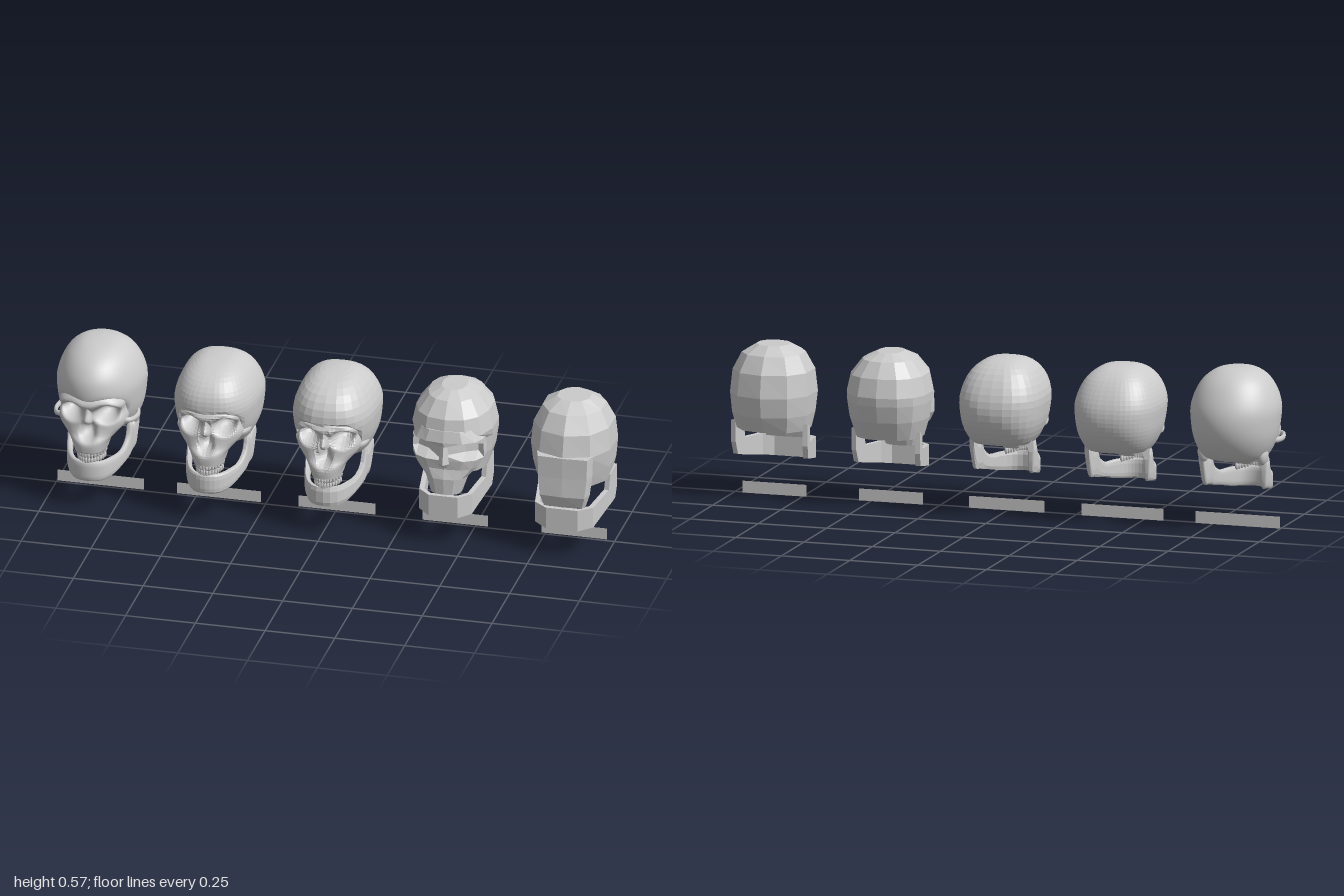
import * as THREE from 'three';

const spow = (v, p) => Math.abs(v) < 1e-6 ? 0 : Math.sign(v) * Math.pow(Math.abs(v), p);

// Closed skin over a list of rings, both ends capped
function skin(rings) {
  const mid = r => r.reduce((s, v) => s.add(v), new THREE.Vector3()).divideScalar(r.length);
  const n = rings[0].length, last = rings[rings.length - 1];
  const all = [rings[0].map(() => mid(rings[0])), ...rings, last.map(() => mid(last))];
  const index = [];
  for (let i = 0; i < all.length - 1; i++) for (let j = 0; j < n; j++) {
    const k = (j + 1) % n, a = i * n + j, b = a + n, c = (i + 1) * n + k, d = i * n + k;
    if (i < all.length - 2) index.push(a, b, c);
    if (i > 0) index.push(a, c, d);
  }
  const g = new THREE.BufferGeometry().setFromPoints(all.flat());
  g.setIndex(index);
  g.computeVertexNormals();
  return g;
}

// Catmull-Rom refinement of a table of rows
function refine(rows, n) {
  const out = [];
  const at = i => rows[Math.max(0, Math.min(rows.length - 1, i))];
  for (let i = 0; i < rows.length - 1; i++) for (let s = 0; s < n; s++) {
    const t = s / n;
    out.push(rows[i].map((b, c) => {
      const a = at(i - 1)[c], d = at(i + 1)[c], e = at(i + 2)[c];
      return b + 0.5 * t * (d - a + t * (2 * a - 5 * b + 4 * d - e + t * (3 * (b - d) + e - a)));
    }));
  }
  out.push(rows[rows.length - 1]);
  return out;
}

// Horizontal sections: [y, half width, front z, widest z, back z]
function loft(rows, seg, p = 1, rule = v => v) {
  return skin(rows.map(([y, hw, zf, zc, zb]) => Array.from({ length: seg }, (_, j) => {
    const t = j / seg * Math.PI * 2, c = spow(Math.cos(t), p);
    return rule(new THREE.Vector3(Math.max(hw, 0) * spow(Math.sin(t), p), y, zc + c * (c > 0 ? zf - zc : zc - zb)));
  })));
}

// Jaw swept round a U: half sections [x, z, bottom, top], mirrored
function jawGeometry(half, div, seg, p, thick) {
  const left = half.map(([x, ...r]) => [-x, ...r]);
  const right = half.filter(r => r[0] > 0).reverse();
  const rows = refine([...left, ...right], div);
  return skin(rows.map(([x, z, lo, hi], i) => {
    const a = rows[Math.max(i - 1, 0)], b = rows[Math.min(i + 1, rows.length - 1)];
    const T = new THREE.Vector2(b[0] - a[0], b[1] - a[1]).normalize();
    return Array.from({ length: seg }, (_, j) => {
      const t = (j + 0.5) / seg * Math.PI * 2, o = thick * spow(Math.cos(t), p);
      return new THREE.Vector3(x - T.y * o, (lo + hi) / 2 + (hi - lo) / 2 * spow(Math.sin(t), p), z + T.x * o);
    });
  }));
}

// Pushes the eye sockets and nose opening into the front
const dent = grow => v => {
  const front = THREE.MathUtils.smoothstep(v.z, 0.04, 0.11);
  const hole = (x, y, rx, ry) => Math.exp(-Math.pow((x / rx / grow) ** 2 + (y / ry / grow) ** 2, 1.6));
  v.z -= front * grow * (0.08 * hole(Math.abs(v.x) - 0.062, v.y - 0.357, 0.035, 0.029)
    + 0.05 * hole(v.x, v.y - 0.29, 0.02 + 0.1 * Math.max(0, 0.3 - v.y), 0.029));
  return v;
};

// Pushes the low-poly eye corners back
function angularSocket(v) {
  const x = Math.abs(v.x);
  if (v.z > 0.07 && v.y > 0.33 && v.y < 0.37 && x > 0.02 && x < 0.112) v.z -= 0.045;
  return v;
}

const CRANIUM = [
  [0.572, 0, -0.03, -0.03, -0.03], [0.568, 0.046, 0.02, -0.03, -0.072], [0.555, 0.08, 0.08, -0.035, -0.107],
  [0.525, 0.115, 0.136, -0.04, -0.145], [0.48, 0.141, 0.172, -0.04, -0.177], [0.43, 0.155, 0.183, -0.04, -0.198],
  [0.38, 0.153, 0.176, -0.04, -0.203], [0.33, 0.146, 0.153, -0.04, -0.193], [0.285, 0.13, 0.115, -0.04, -0.17],
  [0.255, 0.108, 0.08, -0.04, -0.142]];
const FACE = [
  [0.44, 0.07, 0.15, 0.08, 0.03], [0.395, 0.112, 0.189, 0.09, 0.03], [0.36, 0.114, 0.176, 0.08, 0.03],
  [0.325, 0.121, 0.17, 0.08, 0.03], [0.3, 0.113, 0.17, 0.085, 0.03], [0.275, 0.09, 0.178, 0.1, 0.04],
  [0.25, 0.069, 0.196, 0.11, 0.05], [0.213, 0.056, 0.195, 0.11, 0.06]];
const NOSE = [[0.39, 0.011, 0.186, 0.16, 0.14], [0.365, 0.012, 0.192, 0.16, 0.14],
  [0.34, 0.016, 0.206, 0.165, 0.15], [0.325, 0.016, 0.193, 0.165, 0.155]];
const JAW = [
  [0.114, -0.072, 0.225, 0.268], [0.109, -0.055, 0.152, 0.262], [0.105, -0.03, 0.143, 0.24],
  [0.104, -0.005, 0.138, 0.258], [0.102, 0.015, 0.133, 0.21], [0.093, 0.06, 0.125, 0.18],
  [0.074, 0.12, 0.111, 0.178], [0.044, 0.166, 0.105, 0.178], [0, 0.181, 0.105, 0.178]];

function makeAdder(group, flat) {
  const material = new THREE.MeshStandardMaterial({ color: 0xcccccc, flatShading: flat });
  return (name, geometry, x = 0, y = 0, z = 0) => {
    const m = new THREE.Mesh(geometry, material);
    m.name = name;
    m.position.set(x, y, z);
    group.add(m);
    return m;
  };
}

// Detailed skull; seg and div set its density
function detailedSkull({ seg, div, flat, top, width, p, hollow, arch }) {
  const g = new THREE.Group(), add = makeAdder(g, flat);
  const k = (top - 0.25) / 0.322;
  const base = hollow
    ? [[0.262, 0.085, 0.06, -0.04, -0.12], [0.3, 0.05, 0.02, -0.04, -0.09], [0.315, 0, -0.04, -0.04, -0.04]]
    : [[0.246, 0.07, 0.05, -0.04, -0.105], [0.245, 0, -0.04, -0.04, -0.04]];
  const rows = CRANIUM.map(([y, ...r]) => [0.25 + (y - 0.25) * k, ...r]);
  add('cranium', loft(refine([...rows, ...base], div), seg, p, dent(1.2)));
  add('face', loft(refine(FACE, div + 2), seg + 24, 0.75, dent(1)));
  add('nasalBone', loft(refine(NOSE, div), 12));
  add('skullBase', loft([[0.28, 0.05, 0.09, 0.04, -0.03], [0.245, 0.04, 0.08, 0.04, 0], [0.212, 0.035, 0.08, 0.05, 0.03]], 12));
  add('lowerJaw', jawGeometry(JAW, div, seg > 30 ? 12 : 8, 0.6, 0.011));
  for (const s of [-1, 1]) {
    // Cheekbone arch, a flattened bar running back to the ear
    const path = new THREE.CatmullRomCurve3([[0.09, 0, 0.11], [arch - 0.015, 0, 0.1], [arch, -0.003, 0.06],
      [arch - 0.002, -0.003, 0.015], [0.122, 0, -0.03]].map(([x, y, z]) => new THREE.Vector3(s * x, y, z)));
    add('cheekArch', new THREE.TubeGeometry(path, seg / 2, 0.007, 8), 0, 0.315, 0).scale.y = 1.5;
    if (!hollow) {
      const bump = add('earBump', new THREE.SphereGeometry(1, 16, 12), s * 0.108, 0.268, -0.062);
      bump.scale.set(0.02, 0.038, 0.03);
    }
  }
  // Two rows of teeth
  const tooth = new THREE.SphereGeometry(1, seg > 30 ? 8 : 6, 6);
  for (const [name, y, grow] of [['upperTooth', 0.207, 1.02], ['lowerTooth', 0.184, 0.95]]) for (let i = 0; i < 14; i++) {
    const a = (i - 6.5) / 6.5 * 1.35;
    const t = add(name, tooth, 0.05 * grow * Math.sin(a), y, 0.1 + 0.088 * grow * Math.cos(a));
    t.scale.set(0.0068, 0.0135, 0.0065);
    t.rotation.y = a;
  }
  g.scale.x = width;
  return g;
}

// Low-poly skull with angular sockets
function angularSkull() {
  const g = new THREE.Group(), add = makeAdder(g, true);
  add('cranium', loft([
    [0.54, 0.045, 0.05, -0.01, -0.07], [0.518, 0.092, 0.1, -0.02, -0.12], [0.465, 0.133, 0.142, -0.02, -0.16],
    [0.4, 0.147, 0.155, -0.02, -0.177], [0.37, 0.146, 0.1, -0.02, -0.175], [0.31, 0.138, 0.095, -0.02, -0.16],
    [0.243, 0.118, 0.09, -0.02, -0.13]], 14, 0.85));
  add('face', loft([[0.425, 0.105, 0.152, 0.06, 0.02], [0.385, 0.128, 0.163, 0.06, 0.02], [0.365, 0.128, 0.157, 0.06, 0.02],
    [0.335, 0.13, 0.157, 0.06, 0.02], [0.315, 0.13, 0.157, 0.06, 0.02], [0.28, 0.11, 0.152, 0.08, 0.03],
    [0.245, 0.075, 0.162, 0.1, 0.05], [0.187, 0.056, 0.16, 0.11, 0.07]], 14, 0.8, angularSocket));
  add('nasalBone', loft([[0.365, 0.013, 0.16, 0.14, 0.1], [0.305, 0.022, 0.176, 0.14, 0.1],
    [0.29, 0.02, 0.158, 0.14, 0.1]], 6));
  add('lowerJaw', jawGeometry([[0.116, -0.068, 0.19, 0.268], [0.113, -0.052, 0.145, 0.265], [0.106, -0.012, 0.136, 0.25],
    [0.104, 0, 0.134, 0.195], [0.086, 0.125, 0.11, 0.186], [0.05, 0.158, 0.105, 0.184]], 1, 4, 0, 0.009));
  return g;
}

// Simplest skull: plain blocks
function blockSkull() {
  const g = new THREE.Group(), add = makeAdder(g, true);
  add('cranium', loft([
    [0.54, 0.06, 0.04, -0.015, -0.08], [0.51, 0.11, 0.1, -0.02, -0.125], [0.45, 0.141, 0.14, -0.02, -0.16],
    [0.37, 0.149, 0.158, -0.02, -0.173], [0.3, 0.143, 0.13, -0.02, -0.162], [0.243, 0.13, 0.11, -0.02, -0.138]], 10, 0.92));
  add('face', loft([[0.375, 0.1, 0.163, 0.12, 0.06], [0.3, 0.098, 0.165, 0.12, 0.07],
    [0.23, 0.09, 0.17, 0.125, 0.09], [0.185, 0.076, 0.155, 0.125, 0.1]], 8, 0.35));
  add('lowerJaw', jawGeometry([[0.131, -0.068, 0.19, 0.268], [0.128, -0.052, 0.145, 0.265], [0.121, -0.012, 0.136, 0.25],
    [0.118, 0, 0.134, 0.195], [0.096, 0.13, 0.11, 0.186], [0.055, 0.16, 0.105, 0.184]], 1, 4, 0, 0.009));
  return g;
}

export function createModel() {
  const model = new THREE.Group();
  model.name = 'skullSet';
  const plateMaterial = new THREE.MeshStandardMaterial({ color: 0xcccccc, side: THREE.DoubleSide });
  const set = [
    ['finestSkull', -0.843, 0.31, detailedSkull({ seg: 56, div: 4, flat: false, top: 0.572, width: 1, p: 1, hollow: false, arch: 0.143 })],
    ['fineSkull', -0.42, 0.3, detailedSkull({ seg: 48, div: 3, flat: true, top: 0.553, width: 0.96, p: 0.78, hollow: true, arch: 0.128 })],
    ['mediumSkull', 0.003, 0.275, detailedSkull({ seg: 28, div: 2, flat: true, top: 0.551, width: 0.95, p: 0.78, hollow: true, arch: 0.128 })],
    ['angularSkull', 0.427, 0.235, angularSkull()],
    ['blockSkull', 0.853, 0.235, blockSkull()]];
  for (const [name, x, w, skull] of set) {
    skull.name = name;
    skull.position.x = x;
    // Blank plate under each skull
    const plate = new THREE.Mesh(new THREE.PlaneGeometry(w, 0.042), plateMaterial);
    plate.name = 'blankPlate';
    plate.position.set(x, 0.021, -0.01);
    model.add(skull, plate);
  }
  return model;
}
